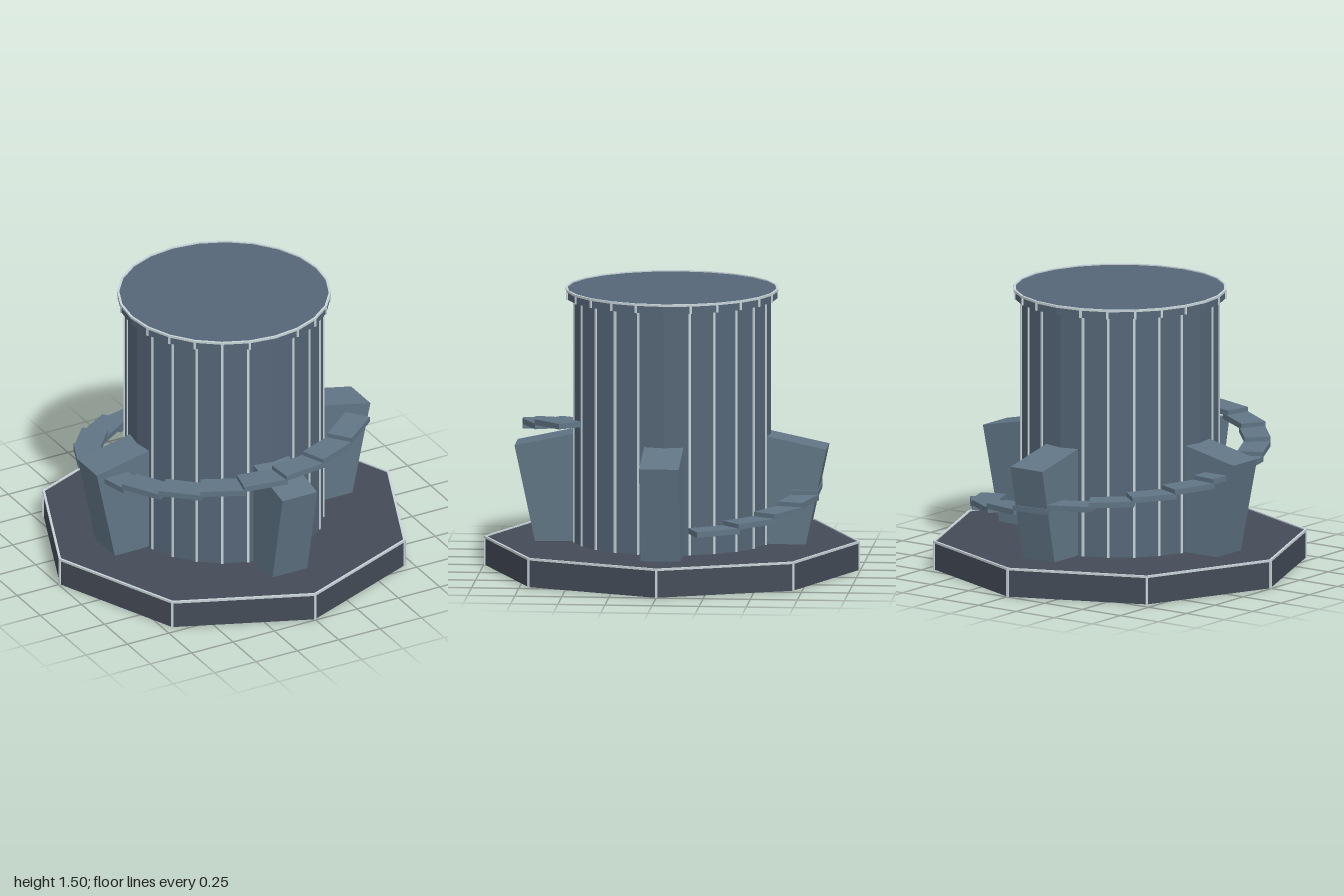
import * as THREE from 'three';

const material = (color) => new THREE.MeshStandardMaterial({ color, flatShading: true });

export function createModel() {
  const model = new THREE.Group();
  const baseMat = material(0x444b57);
  const towerMat = material(0x556677);
  const stoneMat = material(0x607585);
  const trimMat = material(0xc8d4d8);

  const add = (parent, name, geometry, mat) => {
    const mesh = new THREE.Mesh(geometry, mat);
    mesh.name = name;
    parent.add(mesh);
    return mesh;
  };

  // Upright prism between two heights
  const prism = (name, radius, y0, y1, sides, mat) =>
    add(model, name, new THREE.CylinderGeometry(radius, radius, y1 - y0, sides), mat)
      .position.set(0, (y0 + y1) / 2, 0);

  // Corner of a prism, matching the cylinder vertices
  const corner = (radius, y, sides, i) => {
    const a = (i / sides) * Math.PI * 2;
    return new THREE.Vector3(Math.sin(a) * radius, y, Math.cos(a) * radius);
  };

  // Thin square bar between two points
  const bar = (parent, name, from, to, width) => {
    const mesh = add(parent, name, new THREE.BoxGeometry(width, width, from.distanceTo(to)), trimMat);
    mesh.position.copy(from).lerp(to, 0.5);
    if (Math.abs(from.y - to.y) > 0.01) {
      mesh.rotation.set(Math.PI / 2, 0, -Math.atan2(from.x, from.z));
    } else {
      mesh.lookAt(to);
    }
  };

  // Trim on the upright corners, and optionally round the top rim
  const trim = (name, radius, y0, y1, sides, width, rim, skip = 0) => {
    const group = new THREE.Group();
    group.name = name;
    for (let i = 0; i < sides; i++) {
      const top = corner(radius, y1, sides, i);
      if (!skip || i % skip) bar(group, 'uprightTrim', corner(radius, y0, sides, i), top, width);
      if (rim) bar(group, 'rimTrim', top, corner(radius, y1, sides, i + 1), width);
    }
    model.add(group);
  };

  // Octagonal base, tower and cap
  prism('base', 0.992, 0, 0.15, 8, baseMat);
  trim('baseTrim', 0.992, 0, 0.15, 8, 0.012, true);
  prism('tower', 0.525, 0.15, 1.45, 24, towerMat);
  trim('towerRibs', 0.525, 0.15, 1.45, 24, 0.012, false, 6);
  prism('cap', 0.56, 1.45, 1.495, 24, towerMat);
  trim('capTrim', 0.56, 1.45, 1.495, 24, 0.012, true, 6);

  // Four buttresses leaning outward
  const buttressGeometry = new THREE.BoxGeometry(0.36, 0.56, 0.21).translate(-0.18, -0.28, 0);
  for (let i = 0; i < 4; i++) {
    const arm = new THREE.Group();
    arm.name = 'buttressArm';
    arm.rotation.y = (i * Math.PI) / 2;
    const buttress = add(arm, 'buttress', buttressGeometry, stoneMat);
    buttress.position.set(0.827, 0.66, 0);
    buttress.rotation.z = THREE.MathUtils.degToRad(-12);
    model.add(arm);
  }

  // Spiral of floating steps, rising from the left round the back to the front
  const stairs = new THREE.Group();
  stairs.name = 'spiralStairs';
  const stepGeometry = new THREE.BoxGeometry(0.14, 0.03, 0.24);
  const stepCount = 18;
  for (let i = 0; i < stepCount; i++) {
    const t = i / (stepCount - 1);
    const a = THREE.MathUtils.degToRad(23 + 284.6 * t);
    const step = add(stairs, 'step', stepGeometry, stoneMat);
    step.position.set(0.718 * Math.cos(a), 0.307 + 0.53 * t, -0.718 * Math.sin(a));
    step.rotation.set(THREE.MathUtils.degToRad(2), a, 0, 'YXZ');
  }
  model.add(stairs);

  return model;
}
